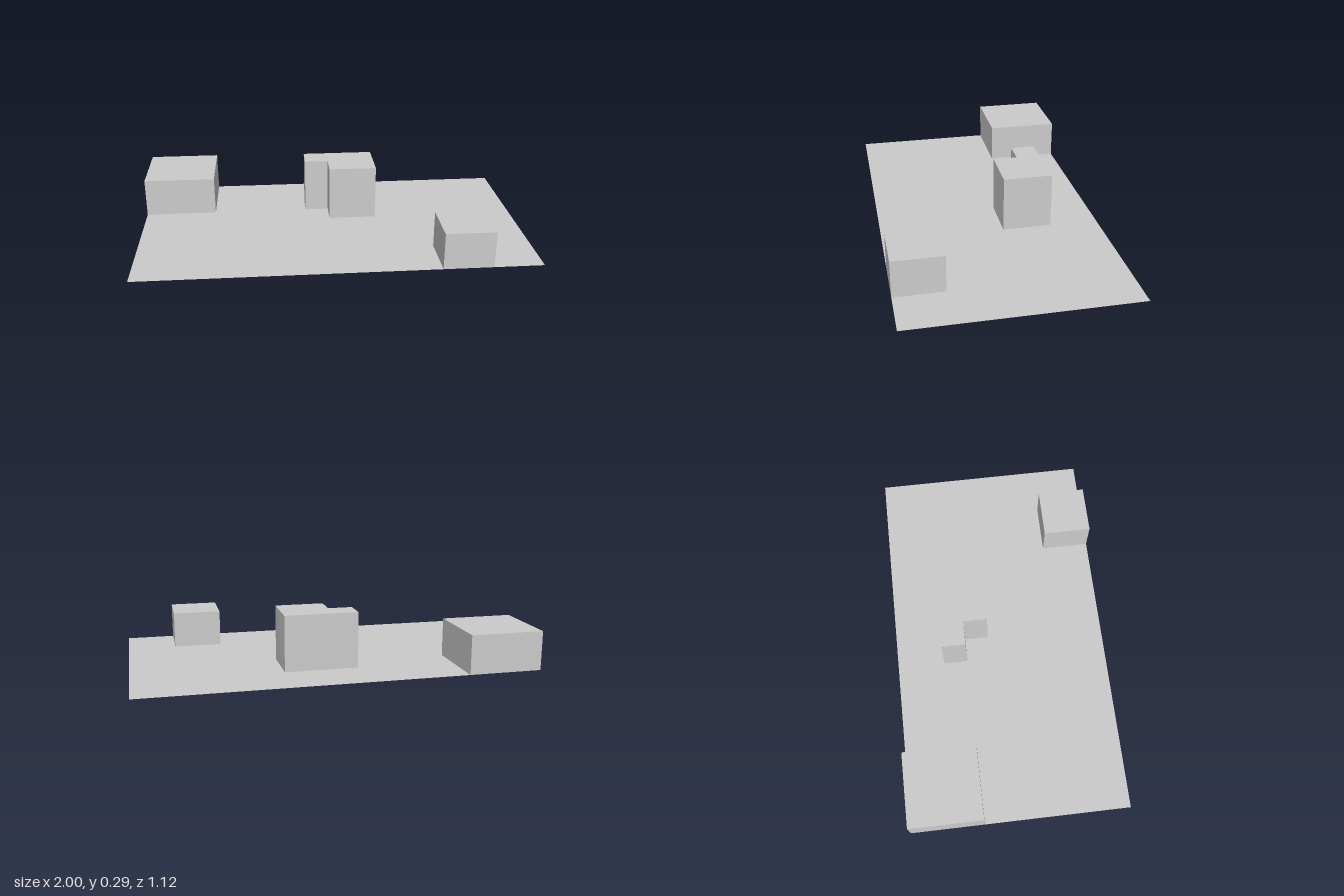
import * as THREE from 'three';
import { mergeGeometries } from 'three/addons/utils/BufferGeometryUtils.js';

const CELL = 0.125, COLS = 16, ROWS = 9;
const X0 = -COLS * CELL / 2, Z0 = -ROWS * CELL / 2;

// Footprints as [column, row] cells, counted from the back left of the plan
const rect = (col, row, w, d) => {
  const cells = [];
  for (let j = 0; j < d; j++) for (let i = 0; i < w; i++) cells.push([col + i, row + j]);
  return cells;
};
const blocks = [
  { name: 'cornerBlock', height: 0.2, cells: rect(0, 0, 3, 3) },
  { name: 'centreTower', height: 0.286, cells: [...rect(7, 2, 3, 1), ...rect(8, 3, 2, 1)] },
  { name: 'frontBlock', height: 0.1875, cells: rect(12, 7, 2, 2) },
];

// Hollow columns, open below, with one partition between neighbouring cells
function blockGeometry({ cells, height }) {
  const has = (c, r) => cells.some(([a, b]) => a === c && b === r);
  const parts = [];
  for (const [c, r] of cells) {
    const x = X0 + (c + 0.5) * CELL, z = Z0 + (r + 0.5) * CELL;
    parts.push(new THREE.PlaneGeometry(CELL, CELL).rotateX(-Math.PI / 2).translate(x, height, z));
    for (const [dx, dz] of [[1, 0], [0, 1], [-1, 0], [0, -1]]) {
      if (dx + dz < 0 && has(c + dx, r + dz)) continue; // shared wall already made
      parts.push(new THREE.PlaneGeometry(CELL, height)
        .rotateY(Math.atan2(dx, dz))
        .translate(x + dx * CELL / 2, height / 2, z + dz * CELL / 2));
    }
  }
  return mergeGeometries(parts);
}

// Flat ground, left open under every block
function groundGeometry() {
  const points = (corners) => corners.map(([c, r]) => new THREE.Vector2(X0 + c * CELL, -(Z0 + r * CELL)));
  const shape = new THREE.Shape(points([
    [0, 3], [0, 9], [12, 9], [12, 7], [14, 7], [14, 9], [16, 9], [16, 0], [3, 0], [3, 3],
  ]));
  shape.holes.push(new THREE.Path(points([[7, 2], [10, 2], [10, 4], [8, 4], [8, 3], [7, 3]])));
  return new THREE.ShapeGeometry(shape).rotateX(-Math.PI / 2);
}

export function createModel() {
  const model = new THREE.Group();
  const material = new THREE.MeshStandardMaterial({ color: 0xcccccc, flatShading: true, side: THREE.DoubleSide });
  const add = (name, geometry) => {
    const mesh = new THREE.Mesh(geometry, material);
    mesh.name = name;
    model.add(mesh);
  };
  add('ground', groundGeometry());
  for (const block of blocks) add(block.name, blockGeometry(block));
  return model;
}
